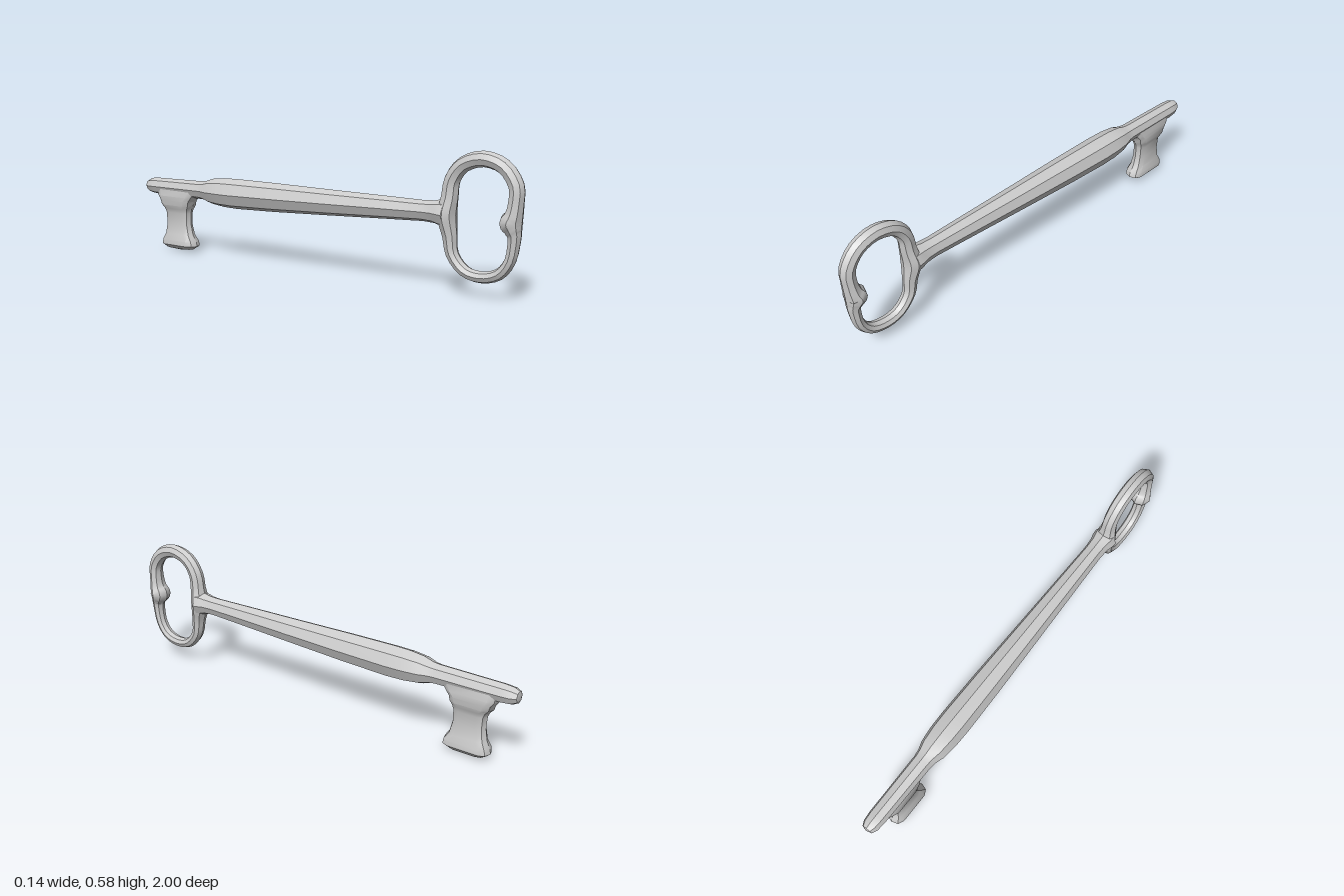
import * as THREE from 'three';
import { toCreasedNormals } from 'three/addons/utils/BufferGeometryUtils.js';

const material = new THREE.MeshStandardMaterial({ color: 0xcccccc });

// Skin through equal-sized rings, each counter-clockwise about the path direction.
// Open skins are closed with a fan to the given end points.
function loft(rings, startPoint, endPoint) {
  const n = rings[0].length, m = rings.length;
  const closed = !startPoint;
  const points = rings.flat();
  const index = [];
  for (let r = 0; r < (closed ? m : m - 1); r++) {
    for (let i = 0; i < n; i++) {
      const j = (i + 1) % n, a = r * n, b = ((r + 1) % m) * n;
      index.push(a + i, a + j, b + j, a + i, b + j, b + i);
    }
  }
  if (!closed) {
    const s = points.push(startPoint) - 1, e = points.push(endPoint) - 1;
    for (let i = 0; i < n; i++) {
      const j = (i + 1) % n, last = (m - 1) * n;
      index.push(s, j, i, e, last + i, last + j);
    }
  }
  const geometry = new THREE.BufferGeometry().setFromPoints(points);
  geometry.setIndex(index);
  return toCreasedNormals(geometry, 0.6);
}

function part(name, geometry) {
  const mesh = new THREE.Mesh(geometry, material);
  mesh.name = name;
  return mesh;
}

// Octagonal shaft: z, centre height, radius
function makeShaft() {
  const stations = [
    [-0.993, 0.306, 0.025], [-0.97, 0.305, 0.036], [-0.93, 0.305, 0.04],
    [-0.64, 0.306, 0.043], [-0.61, 0.306, 0.047], [-0.57, 0.306, 0.06],
    [-0.5, 0.306, 0.068], [-0.42, 0.306, 0.07], [-0.2, 0.309, 0.066],
    [0.1, 0.314, 0.057], [0.4, 0.32, 0.048], [0.57, 0.323, 0.043],
    [0.62, 0.323, 0.046], [0.65, 0.322, 0.054], [0.675, 0.32, 0.056],
  ];
  const rings = stations.map(([z, y, r]) =>
    Array.from({ length: 8 }, (_, i) => {
      const a = (i * Math.PI) / 4;
      return new THREE.Vector3(r * Math.cos(a), y + r * Math.sin(a), z);
    }));
  return part('shaft', loft(rings, new THREE.Vector3(0, 0.306, -1), new THREE.Vector3(0, 0.32, 0.69)));
}

// Ring handle: z, y, radius in the ring's plane, half width across it
function makeBow() {
  const stations = [
    [0.83, 0.548, 0.032, 0.033], [0.745, 0.522, 0.032, 0.033], [0.697, 0.46, 0.034, 0.033],
    [0.686, 0.39, 0.036, 0.036], [0.676, 0.315, 0.038, 0.05], [0.69, 0.235, 0.031, 0.034],
    [0.703, 0.16, 0.026, 0.029], [0.757, 0.1, 0.024, 0.028], [0.83, 0.084, 0.024, 0.028],
    [0.905, 0.105, 0.023, 0.028], [0.951, 0.165, 0.023, 0.028], [0.965, 0.25, 0.026, 0.031],
    [0.96, 0.28, 0.034, 0.04], [0.95, 0.31, 0.047, 0.051], [0.96, 0.342, 0.036, 0.044],
    [0.967, 0.385, 0.031, 0.037], [0.966, 0.455, 0.032, 0.033], [0.915, 0.523, 0.032, 0.033],
  ];
  const loop = (f) => new THREE.CatmullRomCurve3(stations.map(f), true);
  const path = loop(([z, y]) => new THREE.Vector3(0, y, z));
  const sizes = loop(([, , r, w]) => new THREE.Vector3(r, w, 0));
  sizes.curveType = path.curveType = 'catmullrom';
  const side = new THREE.Vector3(1, 0, 0);
  const count = stations.length * 3;
  const rings = Array.from({ length: count }, (_, k) => {
    const t = k / count;
    const centre = path.getPoint(t), size = sizes.getPoint(t);
    const outward = new THREE.Vector3().crossVectors(side, path.getTangent(t));
    return Array.from({ length: 8 }, (_, i) => {
      const a = (i * Math.PI) / 4;
      return centre.clone()
        .addScaledVector(outward, size.x * Math.cos(a))
        .addScaledVector(side, size.y * Math.sin(a));
    });
  });
  return part('bow', loft(rings));
}

// Bit: y, front z, back z, half thickness, with rounded front and back edges
function makeBit() {
  const stations = [
    [0.01, -0.705, -0.87, 0.028], [0.027, -0.68, -0.892, 0.042], [0.05, -0.685, -0.888, 0.042],
    [0.08, -0.705, -0.873, 0.034], [0.13, -0.717, -0.865, 0.03], [0.185, -0.717, -0.868, 0.031],
    [0.205, -0.712, -0.877, 0.036], [0.222, -0.702, -0.893, 0.042], [0.245, -0.697, -0.9, 0.043],
    [0.265, -0.68, -0.915, 0.042], [0.3, -0.66, -0.92, 0.036],
  ];
  const rings = stations.map(([y, front, back, w]) => {
    const half = [[0, front], [0.7 * w, front - 0.01], [w, front - 0.035],
      [w, back + 0.035], [0.7 * w, back + 0.01], [0, back]];
    const mirrored = half.slice(1, -1).reverse().map(([x, z]) => [-x, z]);
    return [...half, ...mirrored].map(([x, z]) => new THREE.Vector3(x, y, z));
  });
  return part('bit', loft(rings, new THREE.Vector3(0, 0, -0.787), new THREE.Vector3(0, 0.305, -0.79)));
}

export function createModel() {
  const key = new THREE.Group();
  key.name = 'key';
  key.add(makeShaft(), makeBow(), makeBit());
  return key;
}
